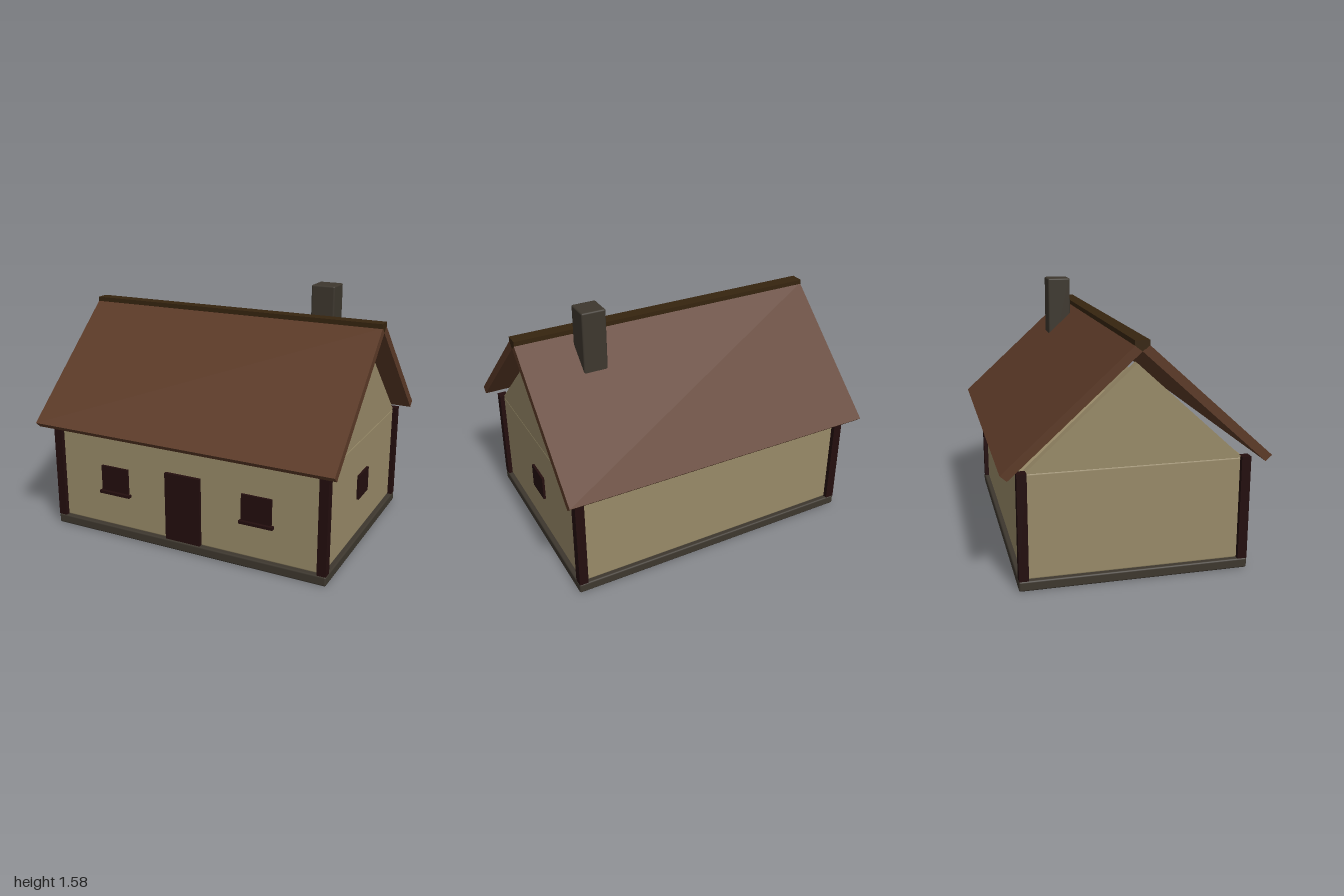
import * as THREE from 'three';
import { RoundedBoxGeometry } from 'three/addons/geometries/RoundedBoxGeometry.js';

const mat = (name, color) => {
  const m = new THREE.MeshStandardMaterial({ color });
  m.name = name;
  return m;
};

export function createModel() {
  const house = new THREE.Group();
  house.name = 'cottage';

  const plaster = mat('plaster', 0x988a68);
  const shingle = mat('roofBrown', 0x5c3a27);
  const stone = mat('stone', 0x3d372e);
  const timber = mat('darkTimber', 0x230e0e);
  const ridgeWood = mat('ridgeWood', 0x36240f);

  const add = (name, geometry, material) => {
    const mesh = new THREE.Mesh(geometry, material);
    mesh.name = name;
    house.add(mesh);
    return mesh;
  };

  // Box given by its min and max corners, with an optional softened edge
  const block = (name, material, [x0, y0, z0], [x1, y1, z1], bevel = 0) => {
    const size = [x1 - x0, y1 - y0, z1 - z0];
    const geometry = bevel
      ? new RoundedBoxGeometry(...size, 2, bevel)
      : new THREE.BoxGeometry(...size);
    add(name, geometry, material)
      .position.set((x0 + x1) / 2, (y0 + y1) / 2, (z0 + z1) / 2);
  };

  // Prism from a (z, y) outline, running along x from x0 to x1
  const prism = (name, material, outline, x0, x1) => {
    const shape = new THREE.Shape(outline.map(([z, y]) => new THREE.Vector2(-z, y)));
    const geometry = new THREE.ExtrudeGeometry(shape, { depth: x1 - x0, bevelEnabled: false });
    geometry.rotateY(Math.PI / 2).translate(x0, 0, 0);
    add(name, geometry, material);
  };

  // Base and walls
  block('foundation', stone, [-0.937, 0, -0.677], [0.937, 0.06, 0.677], 0.01);
  block('walls', plaster, [-0.908, 0.055, -0.648], [0.908, 0.682, 0.648], 0.012);

  // Thin gable triangles and corner posts
  for (const s of [-1, 1]) {
    const x = s * 0.88;
    prism(s > 0 ? 'leftGable' : 'rightGable', plaster,
      [[0.635, 0.678], [-0.635, 0.678], [0, 1.26]], x - 0.027, x + 0.027);
    for (const t of [-1, 1]) {
      const px = s * 0.908, pz = t * 0.648;
      block('cornerPost', timber, [px - 0.028, 0.06, pz - 0.028], [px + 0.028, 0.69, pz + 0.028]);
    }
  }

  // Door, front windows with sills, and the single end window
  block('door', timber, [-0.12, 0.06, 0.635], [0.12, 0.498, 0.67]);
  for (const s of [-1, 1]) {
    const x = s * 0.491;
    block('frontWindow', timber, [x - 0.097, 0.297, 0.635], [x + 0.097, 0.46, 0.663]);
    block('windowSill', timber, [x - 0.11, 0.275, 0.635], [x + 0.11, 0.293, 0.675]);
  }
  block('sideWindow', timber, [0.895, 0.3, -0.09], [0.923, 0.457, 0.09]);

  // Roof slabs meeting under a ridge beam
  for (const s of [-1, 1]) {
    prism(s > 0 ? 'frontRoof' : 'backRoof', shingle,
      [[0, 1.342], [0.734, 0.678], [0.772, 0.712], [0.036, 1.378]].map(([z, y]) => [z * s, y]),
      -1, 1);
  }
  prism('ridgeBeam', ridgeWood,
    [[-0.042, 1.374], [0, 1.34], [0.042, 1.374], [0.042, 1.402], [-0.042, 1.402]], -1, 1);

  // Chimney through the back slope
  block('chimney', stone, [0.505, 0.95, -0.232], [0.655, 1.577, -0.08], 0.01);

  return house;
}
